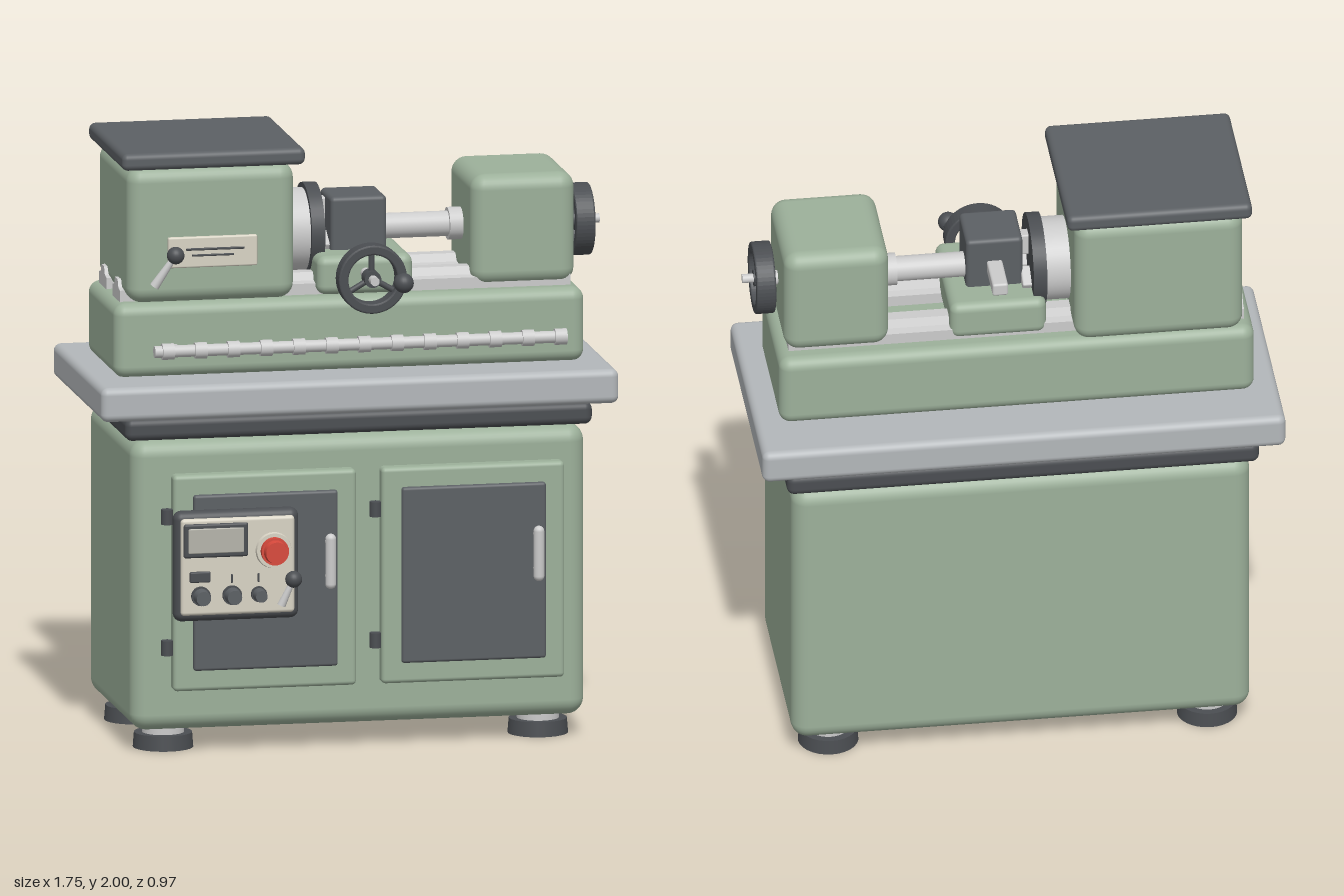
import * as THREE from 'three';
import { RoundedBoxGeometry } from 'three/addons/geometries/RoundedBoxGeometry.js';

const mat = (color) => new THREE.MeshStandardMaterial({ color });
const GREEN = mat(0x9cb09a), DARK = mat(0x4b4e52), PANEL = mat(0x5c6064), TRAY = mat(0xb3b7ba);
const METAL = mat(0xcccccc), CREAM = mat(0xd8d3c4), RED = mat(0xd8493c), GLASS = mat(0xb5b4aa);
const V = (x, y, z) => new THREE.Vector3(x, y, z);

export function createModel() {
  const model = new THREE.Group();
  model.name = 'latheOnCabinet';

  const add = (name, geometry, material, parent = model) => {
    const mesh = new THREE.Mesh(geometry, material);
    mesh.name = name;
    parent.add(mesh);
    return mesh;
  };
  // Rounded box given by its limits on each axis
  const box = (name, [x0, x1], [y0, y1], [z0, z1], r, material, parent) => {
    const g = new RoundedBoxGeometry(x1 - x0, y1 - y0, z1 - z0, 4, r);
    g.translate((x0 + x1) / 2, (y0 + y1) / 2, (z0 + z1) / 2);
    return add(name, g, material, parent);
  };
  // Cylinder or cone running from point a to point b
  const rod = (name, a, b, r0, material, parent, r1 = r0, sides = 28) => {
    const dir = b.clone().sub(a);
    const m = add(name, new THREE.CylinderGeometry(r1, r0, dir.length(), sides), material, parent);
    m.position.copy(a).addScaledVector(dir, 0.5);
    m.quaternion.setFromUnitVectors(V(0, 1, 0), dir.normalize());
    return m;
  };
  const ball = (name, p, r, material, parent) => {
    const m = add(name, new THREE.SphereGeometry(r, 24, 16), material, parent);
    m.position.copy(p);
    return m;
  };
  // Spoked handwheel with its axle along local z
  const handwheel = (name, r, depth) => {
    const wheel = new THREE.Group();
    wheel.name = name;
    const shape = new THREE.Shape().absarc(0, 0, r - 0.006, 0, Math.PI * 2);
    shape.holes.push(new THREE.Path().absarc(0, 0, r - 0.027, 0, Math.PI * 2, true));
    const rim = new THREE.ExtrudeGeometry(shape, {
      depth: depth - 0.012, bevelSize: 0.006, bevelThickness: 0.006, bevelSegments: 3, curveSegments: 28 });
    rim.translate(0, 0, -depth / 2 + 0.006);
    add('rim', rim, DARK, wheel);
    for (let i = 0; i < 3; i++) {
      const a = Math.PI / 2 + (i * Math.PI * 2) / 3;
      rod('spoke', V(0, 0, 0), V(Math.cos(a) * (r - 0.02), Math.sin(a) * (r - 0.02), 0), 0.01, DARK, wheel, 0.01, 12);
    }
    rod('hub', V(0, 0, -depth * 0.45), V(0, 0, depth * 0.45), 0.028, DARK, wheel);
    rod('axle', V(0, 0, -depth / 2 - 0.03), V(0, 0, depth / 2 + 0.034), 0.015, METAL, wheel);
    model.add(wheel);
    return wheel;
  };

  // Feet
  for (const x of [-0.64, 0.62]) for (const z of [0.17, -0.31]) {
    rod('footPad', V(x, 0, z), V(x, 0.05, z), 0.1, DARK, model, 0.096);
    rod('footStem', V(x, 0.05, z), V(x, 0.09, z), 0.07, METAL);
  }

  // Cabinet, plinth and chip tray
  box('cabinet', [-0.77, 0.755], [0.075, 1.05], [-0.44, 0.305], 0.055, GREEN);
  box('cabinetNeck', [-0.72, 0.70], [1.03, 1.07], [-0.4, 0.26], 0.01, DARK);
  box('plinth', [-0.795, 0.775], [1.055, 1.13], [-0.465, 0.325], 0.025, DARK);
  box('chipTray', [-0.88, 0.86], [1.125, 1.24], [-0.487, 0.345], 0.025, TRAY);

  // Doors
  for (const x of [-0.64, 0.06]) {
    const door = new THREE.Group();
    door.name = 'door';
    model.add(door);
    box('doorFrame', [x, x + 0.615], [0.215, 0.94], [0.28, 0.35], 0.015, GREEN, door);
    box('doorPanel', [x + 0.065, x + 0.55], [0.285, 0.875], [0.33, 0.366], 0.01, PANEL, door);
    const hx = x + 0.515;
    const grip = add('doorHandle', new THREE.CapsuleGeometry(0.018, 0.15, 6, 16), METAL, door);
    grip.position.set(hx, 0.647, 0.414);
    for (const y of [0.59, 0.705]) rod('handlePost', V(hx, y, 0.36), V(hx, y, 0.414), 0.01, METAL, door);
    for (const y of [0.8, 0.36]) rod('hinge', V(x - 0.017, y - 0.025, 0.325), V(x - 0.017, y + 0.025, 0.325), 0.02, DARK, door);
  }

  // Control box
  const control = new THREE.Group();
  control.name = 'controlBox';
  model.add(control);
  box('controlHousing', [-0.65, -0.23], [0.46, 0.83], [0.355, 0.416], 0.028, DARK, control);
  box('controlFace', [-0.63, -0.248], [0.483, 0.808], [0.39, 0.427], 0.012, CREAM, control);
  box('screenFrame', [-0.622, -0.405], [0.678, 0.792], [0.415, 0.434], 0.008, DARK, control);
  box('screen', [-0.607, -0.42], [0.693, 0.777], [0.425, 0.437], 0.004, GLASS, control);
  box('rockerSwitch', [-0.602, -0.533], [0.596, 0.632], [0.415, 0.438], 0.005, DARK, control);
  [[-0.565, 0.032], [-0.46, 0.032], [-0.37, 0.026]].forEach(([x, r]) => {
    rod('knobSkirt', V(x, 0.55, 0.42), V(x, 0.55, 0.44), r, DARK, control);
    rod('knob', V(x, 0.55, 0.44), V(x, 0.55, 0.482), r * 0.85, PANEL, control, r * 0.75);
    if (x > -0.5) box('knobMark', [x - 0.003, x + 0.003], [0.59, 0.62], [0.42, 0.43], 0.002, DARK, control);
  });
  rod('stopCollar', V(-0.32, 0.695, 0.42), V(-0.32, 0.695, 0.44), 0.062, CREAM, control, 0.058);
  rod('stopBase', V(-0.32, 0.695, 0.438), V(-0.32, 0.695, 0.46), 0.046, RED, control);
  rod('stopButton', V(-0.32, 0.695, 0.46), V(-0.32, 0.695, 0.485), 0.039, RED, control, 0.036);
  rod('controlLeverPivot', V(-0.258, 0.6, 0.41), V(-0.258, 0.6, 0.455), 0.013, METAL, control);
  rod('controlLever', V(-0.258, 0.6, 0.455), V(-0.297, 0.512, 0.445), 0.008, METAL, control, 0.014);
  ball('controlLeverBall', V(-0.258, 0.6, 0.456), 0.028, DARK, control);

  // Bed with two raised ways
  box('bed', [-0.8, 0.78], [1.235, 1.485], [-0.312, 0.168], 0.04, GREEN);
  for (const z of [0.045, -0.182]) {
    const s = new THREE.Shape();
    [[-0.063, 1.47], [0.063, 1.47], [0.063, 1.522], [0.035, 1.527], [0.022, 1.553], [-0.022, 1.553], [-0.035, 1.527], [-0.063, 1.522]]
      .forEach(([a, b], i) => (i ? s.lineTo(a, b) : s.moveTo(a, b)));
    const way = new THREE.ExtrudeGeometry(s, { depth: 1.515, bevelEnabled: false });
    way.rotateY(Math.PI / 2);
    way.translate(-0.772, 0, z);
    add('bedWay', way, METAL);
  }

  // Lead screw with collars
  rod('leadScrew', V(-0.68, 1.335, 0.225), V(0.705, 1.335, 0.225), 0.02, METAL);
  for (let i = 0; i < 13; i++) {
    const x = -0.635 + i * 0.11;
    rod('screwCollar', V(x - 0.02, 1.335, 0.225), V(x + 0.02, 1.335, 0.225), 0.027, METAL);
  }
  for (const x of [-0.6, 0.6]) rod('screwBracket', V(x, 1.335, 0.15), V(x, 1.335, 0.225), 0.014, METAL);

  // Headstock with lid, plate and lever
  box('headstock', [-0.76, -0.2], [1.49, 1.945], [-0.335, 0.197], 0.05, GREEN);
  box('headstockLid', [-0.785, -0.17], [1.943, 2.0], [-0.362, 0.222], 0.02, PANEL);
  box('speedPlate', [-0.63, -0.33], [1.61, 1.713], [0.185, 0.21], 0.006, CREAM);
  box('plateLine', [-0.57, -0.375], [1.668, 1.676], [0.2, 0.214], 0.002, DARK);
  box('plateLine', [-0.55, -0.41], [1.648, 1.655], [0.2, 0.214], 0.002, DARK);
  rod('speedLeverPivot', V(-0.612, 1.66, 0.19), V(-0.612, 1.66, 0.24), 0.014, METAL);
  rod('speedLever', V(-0.612, 1.66, 0.242), V(-0.68, 1.555, 0.225), 0.009, METAL, model, 0.016);
  ball('speedLeverBall', V(-0.612, 1.66, 0.243), 0.029, DARK);

  // Chuck with three jaws
  const ay = 1.67, az = -0.078;
  rod('spindleNose', V(-0.23, ay, az), V(-0.12, ay, az), 0.138, METAL, model, 0.138, 40);
  rod('chuck', V(-0.12, ay, az), V(-0.075, ay, az), 0.155, DARK, model, 0.155, 40);
  for (let i = 0; i < 3; i++) {
    const jaw = add('chuckJaw', new RoundedBoxGeometry(0.04, 0.075, 0.045, 3, 0.006), METAL);
    const a = (i * Math.PI * 2) / 3;
    jaw.position.set(-0.065, ay + Math.cos(a) * 0.07, az + Math.sin(a) * 0.07);
    jaw.rotation.x = a;
  }

  // Carriage, tool post and tool bar
  box('carriage', [-0.115, 0.205], [1.488, 1.618], [-0.255, 0.155], 0.03, GREEN);
  box('toolPost', [-0.05, 0.138], [1.6, 1.795], [-0.142, 0.045], 0.015, PANEL);
  box('toolBar', [0.018, 0.07], [1.67, 1.715], [-0.29, -0.12], 0.008, METAL);

  // Tailstock with quill
  box('tailstock', [0.41, 0.758], [1.492, 1.863], [-0.275, 0.125], 0.05, GREEN);
  rod('quill', V(0.13, ay, az), V(0.42, ay, az), 0.042, METAL);
  rod('quillCollar', V(0.365, ay, az), V(0.42, ay, az), 0.054, METAL);
  rod('tailShaft', V(0.74, ay, az), V(0.79, ay, az), 0.024, METAL);

  // Handwheels
  const tail = handwheel('tailstockHandwheel', 0.12, 0.065);
  tail.position.set(0.808, ay, -0.072);
  tail.rotation.y = Math.PI / 2;

  const feed = handwheel('carriageHandwheel', 0.115, 0.062);
  feed.position.set(0.045, 1.56, 0.248);
  rod('crankStem', V(0.088, 0, 0.02), V(0.088, 0, 0.1), 0.013, DARK, feed, 0.02);
  ball('crankKnob', V(0.088, 0, 0.105), 0.033, DARK, feed);
  rod('feedShaft', V(0.045, 1.56, 0.14), V(0.045, 1.56, 0.22), 0.018, METAL);

  return model;
}
